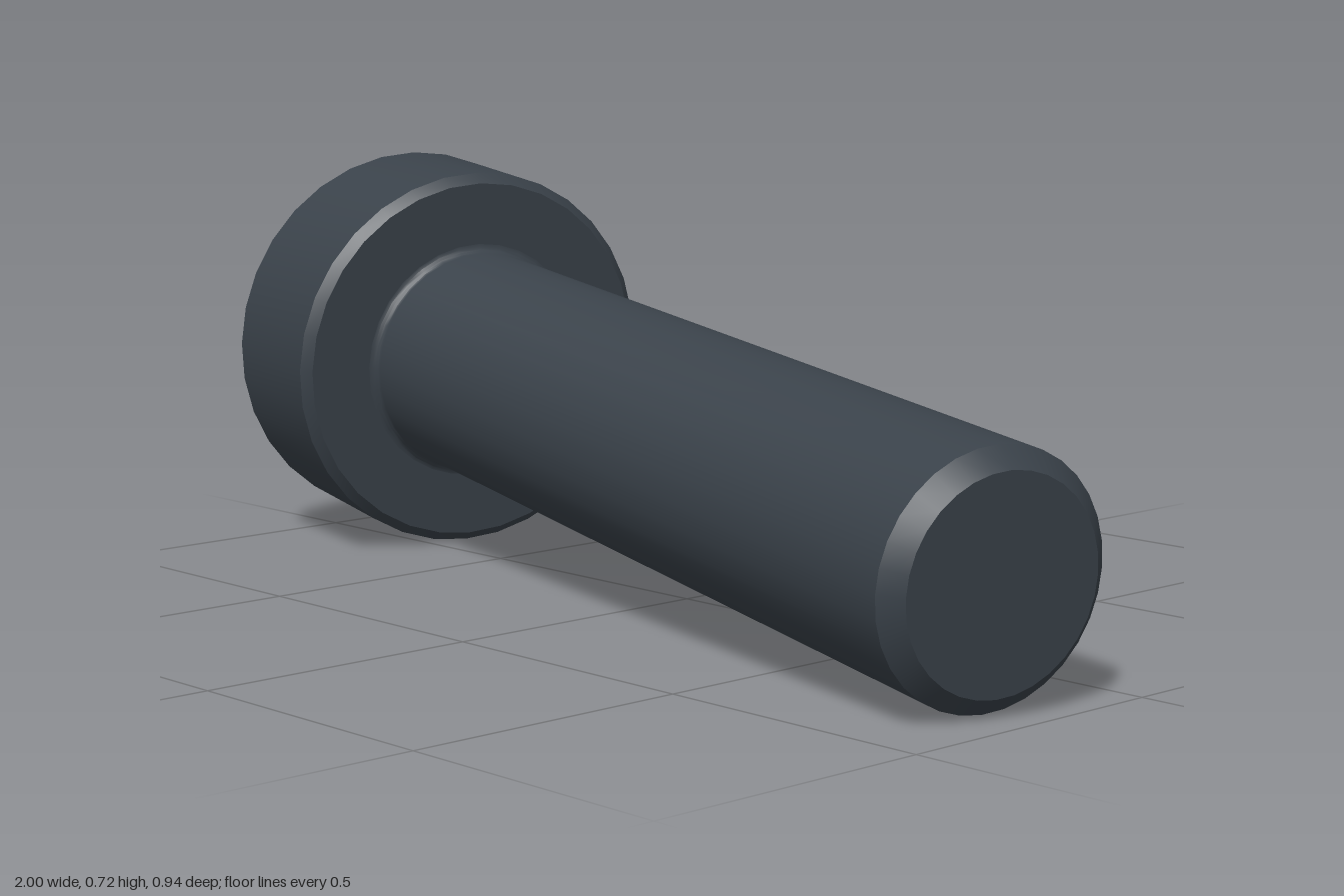
import * as THREE from 'three';
import { toCreasedNormals } from 'three/addons/utils/BufferGeometryUtils.js';

const SIDES = 32;
const HEAD_R = 0.351, HEAD_H = 0.279, SHAFT_R = 0.205, LENGTH = 1.931;
const HEX_R = 0.146, HEX_DEPTH = 0.235;

// Regular hexagon with one corner on the second axis
function hexagon(r) {
  return Array.from({ length: 6 }, (_, i) => {
    const a = Math.PI / 2 + (i * Math.PI) / 3;
    return new THREE.Vector2(r * Math.cos(a), r * Math.sin(a));
  });
}

// Turned part, y runs from the head end to the tip
function turned(profile) {
  const points = profile.map(([r, y]) => new THREE.Vector2(r, y));
  return toCreasedNormals(new THREE.LatheGeometry(points, SIDES), 0.5);
}

export function createModel() {
  const steel = new THREE.MeshStandardMaterial({ color: 0x3a424a });
  steel.name = 'dark steel';

  const screw = new THREE.Group();
  screw.name = 'capScrew';
  const add = (name, geometry) => {
    const mesh = new THREE.Mesh(geometry, steel);
    mesh.name = name;
    screw.add(mesh);
  };

  // Head wall, chamfered edge and underside
  const bevel = 0.017, fillet = 0.015;
  add('head', turned([
    [HEAD_R, 0], [HEAD_R, HEAD_H - bevel], [HEAD_R - bevel, HEAD_H], [SHAFT_R + fillet, HEAD_H],
  ]));

  // Head face with hexagonal opening
  const face = new THREE.Shape();
  face.absarc(0, 0, HEAD_R, 0, Math.PI * 2, false);
  face.holes.push(new THREE.Path(hexagon(HEX_R)));
  add('headFace', new THREE.ShapeGeometry(face, SIDES / 2).rotateX(Math.PI / 2));

  // Socket walls, mirrored so they face inward
  let walls = new THREE.CylinderGeometry(HEX_R, HEX_R, HEX_DEPTH, 6, 1, true);
  walls.translate(0, HEX_DEPTH / 2, 0).scale(-1, 1, 1);
  walls = walls.toNonIndexed();
  walls.computeVertexNormals();
  add('socketWalls', walls);
  const floor = new THREE.CircleGeometry(HEX_R, 6, Math.PI / 2);
  add('socketFloor', floor.rotateX(Math.PI / 2).translate(0, HEX_DEPTH, 0));

  // Shaft with a fillet under the head and a chamfered tip
  const shaft = [];
  for (let i = 0; i <= 4; i++) {
    const a = (i / 4) * (Math.PI / 2);
    shaft.push([SHAFT_R + fillet * (1 - Math.sin(a)), HEAD_H + fillet * (1 - Math.cos(a))]);
  }
  shaft.push([SHAFT_R, LENGTH - 0.031], [0.173, LENGTH], [0, LENGTH]);
  add('shaft', turned(shaft));

  // Tilt the screw along its resting axis
  const axis = new THREE.Vector3(1, -0.09, 0.212).normalize();
  const up = new THREE.Vector3(0, 1, 0).addScaledVector(axis, -axis.y).normalize();
  const side = new THREE.Vector3().crossVectors(axis, up);
  screw.quaternion.setFromRotationMatrix(new THREE.Matrix4().makeBasis(side, axis, up));
  screw.position.set(-0.921, 0.372, -0.125);

  const model = new THREE.Group();
  model.name = 'model';
  model.add(screw);
  return model;
}
